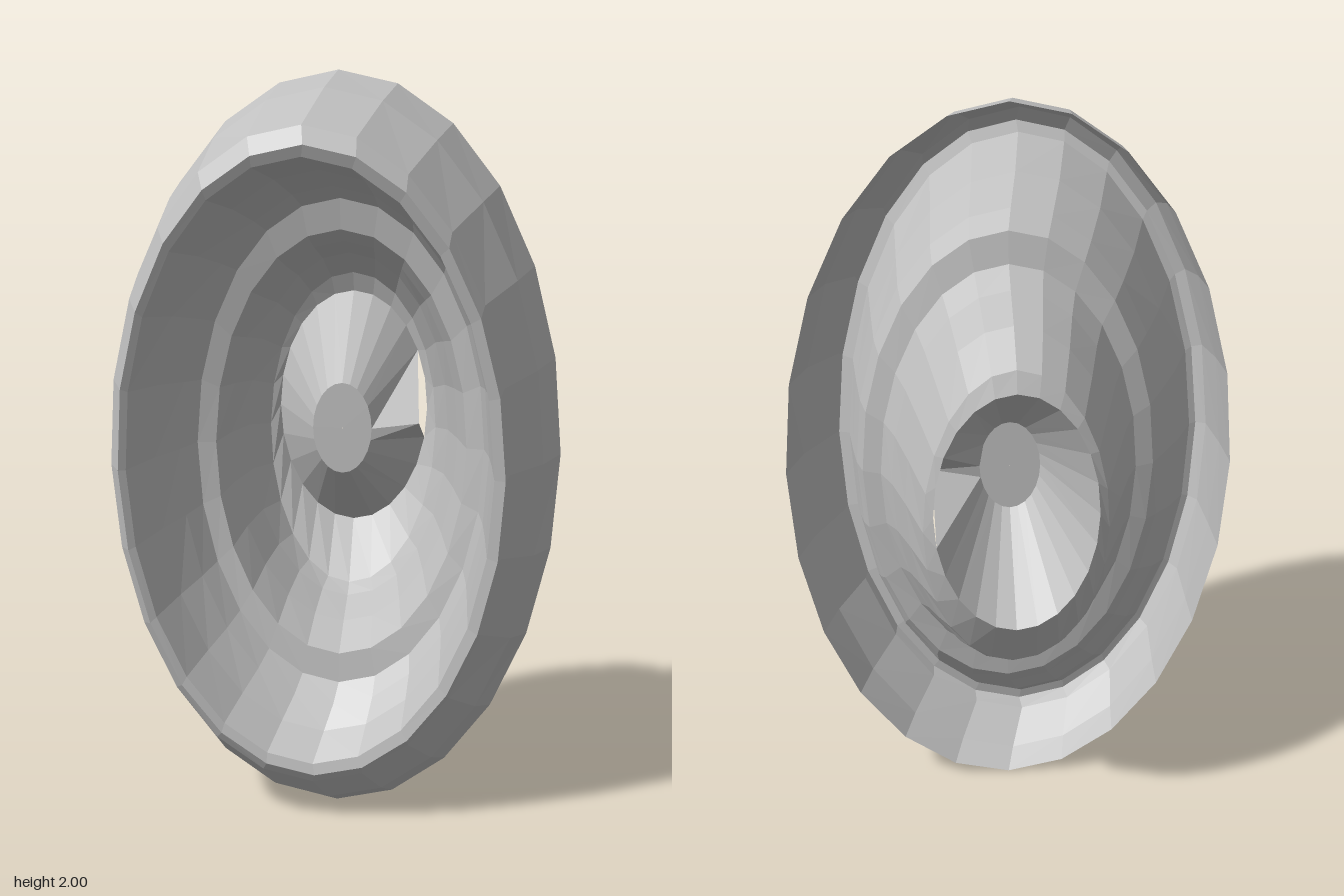
import * as THREE from 'three';

const SIDES = 24;

// Point number i of an elliptical ring: centre cx, cy, radii rx, ry, depth z,
// tilt (extra z at the top) and bend (extra z at both sides).
function ringPoint([cx, cy, rx, ry, z, tilt = 0, bend = 0], i) {
  const a = (i / SIDES) * Math.PI * 2;
  const c = Math.cos(a), s = Math.sin(a);
  return [cx + rx * c, cy + ry * s, z + tilt * s + bend * c * c];
}

// Skin rows of points into one open sheet.
function sheet(rows) {
  const n = rows[0].length;
  const index = [];
  for (let r = 0; r < rows.length - 1; r++) {
    for (let i = 0; i < n - 1; i++) {
      const a = r * n + i, b = a + 1, c = a + n, d = c + 1;
      index.push(a, b, c, b, d, c);
    }
  }
  const g = new THREE.BufferGeometry();
  g.setAttribute('position', new THREE.Float32BufferAttribute(rows.flat(2), 3));
  g.setIndex(index);
  g.computeVertexNormals();
  return g;
}

// Skin rings between two point numbers (a full turn by default).
function loft(rings, from = 0, to = SIDES) {
  return sheet(rings.map((ring) =>
    Array.from({ length: to - from + 1 }, (_, k) => ringPoint(ring, from + k))));
}

export function createModel() {
  const group = new THREE.Group();
  const felt = new THREE.MeshStandardMaterial({ color: 0xc0c0c0, flatShading: true, side: THREE.DoubleSide });
  felt.name = 'grey felt';

  const add = (name, geometry) => {
    const mesh = new THREE.Mesh(geometry, felt);
    mesh.name = name;
    group.add(mesh);
  };

  // Rings shared by neighbouring parts
  const rimOuter = [-0.045, 0.99, 0.5, 0.85, 0.277, 0.093, -0.02];
  const rimInner = [-0.05, 0.99, 0.476, 0.82, 0.268, 0.09, -0.02];
  const bandOuter = [0, 1.005, 0.388, 0.665, -0.014, -0.013, -0.01];
  const bandInner = [0, 1.003, 0.34, 0.583, -0.026, -0.016, -0.014];
  const crownTop = [0, 1.04, 0.21, 0.333, -0.372];
  const dentFloor = [0, 1.04, 0.08, 0.125, -0.085];

  // Turned-back outer skirt of the brim
  add('brimSkirt', loft([
    [-0.003, 1.0, 0.594, 1.0, -0.004, -0.016, -0.016],
    [-0.02, 1.0, 0.567, 0.964, 0.11, 0.03, -0.01],
    [-0.052, 1.0, 0.517, 0.885, 0.25, 0.085, -0.025],
    rimOuter,
  ]));
  add('brimRim', loft([rimOuter, rimInner]));

  // Steep bowl of the brim between rim and band
  add('brimBowl', loft([
    rimInner,
    [-0.03, 0.996, 0.445, 0.765, 0.13, 0.04],
    [-0.01, 1.0, 0.414, 0.708, 0.04],
    bandOuter,
  ]));
  add('band', loft([bandOuter, bandInner]));

  // Crown with rounded shoulder
  add('crown', loft([
    bandInner,
    [0, 1.012, 0.311, 0.533, -0.12],
    [0, 1.01, 0.278, 0.488, -0.23, -0.01],
    [0, 0.988, 0.236, 0.44, -0.305, -0.045, -0.045],
    crownTop,
  ]));

  // Funnel dent in the crown, open where the crease cuts it, with a flat floor
  add('crownDent', loft([crownTop, dentFloor], 2, SIDES - 1));
  add('dentFloor', loft([dentFloor, [0, 1.04, 0.001, 0.001, -0.085]]));

  // Pinched crease folded forward in the left wall of the dent
  const ridge = [0.206, 1.05, -0.12];
  add('dentCrease', sheet([
    [ringPoint(crownTop, -1), ridge, ringPoint(crownTop, 2)],
    [ringPoint(dentFloor, -1), ringPoint(dentFloor, 0), ringPoint(dentFloor, 2)],
  ]));

  return group;
}
